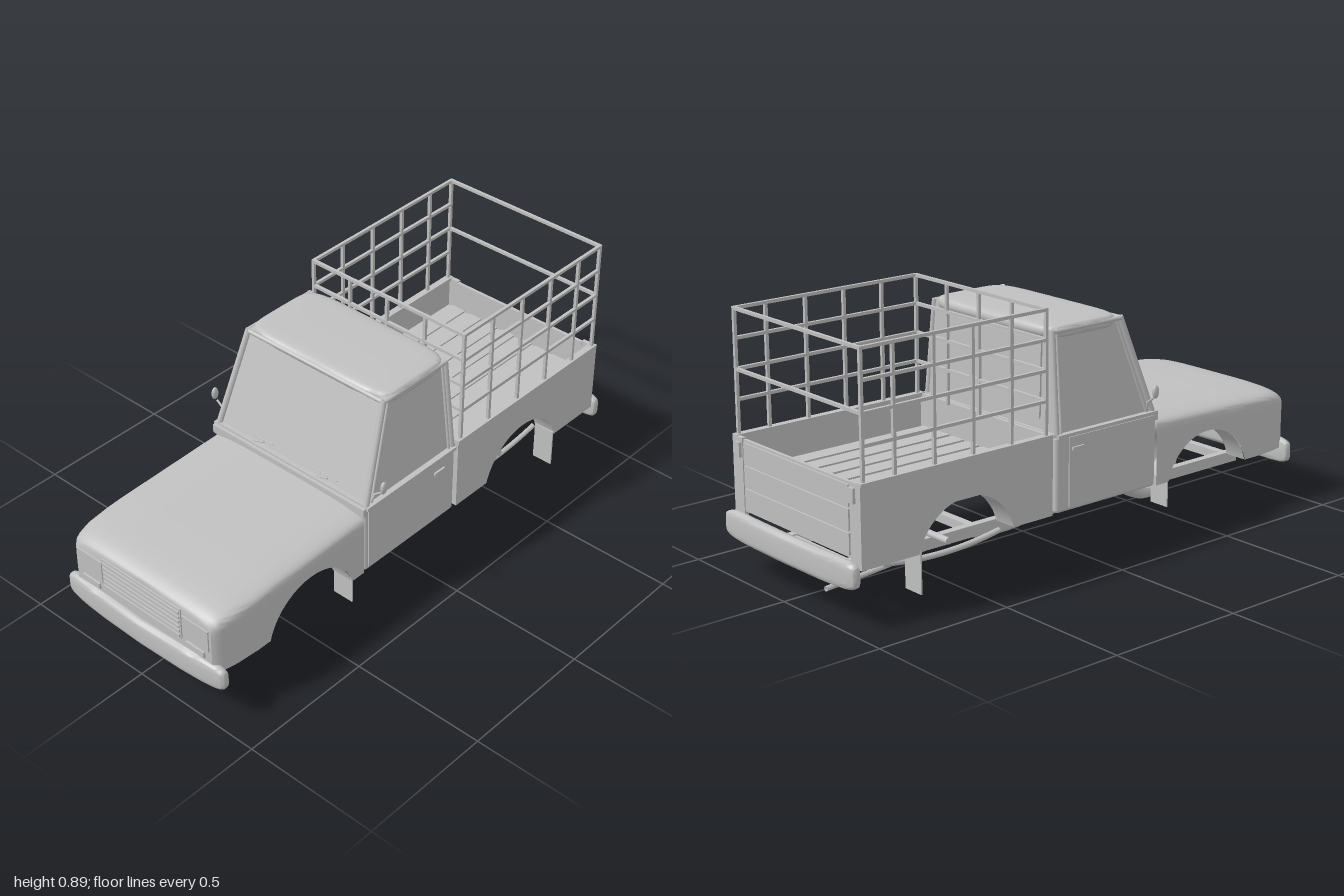
import * as THREE from 'three';
import { mergeVertices, toCreasedNormals } from 'three/addons/utils/BufferGeometryUtils.js';
import { ConvexGeometry } from 'three/addons/geometries/ConvexGeometry.js';
import { RoundedBoxGeometry } from 'three/addons/geometries/RoundedBoxGeometry.js';

const grey = new THREE.MeshStandardMaterial({ color: 0xc0c0c0, side: THREE.DoubleSide });
grey.name = 'plain grey';
const V = (x, y, z) => new THREE.Vector3(x, y, z);
const ARCH_R = 0.2, ARCH_Y = 0.137, SILL = 0.19, FRONT_Z = 0.555, REAR_Z = -0.53;
const ARCH_A = Math.asin((SILL - ARCH_Y) / ARCH_R);

// Piecewise linear lookup in [position, value] pairs
function lookup(table, p) {
  for (let i = 1; i < table.length; i++) {
    const [a, va] = table[i - 1], [b, vb] = table[i];
    if (p <= b) return va + (vb - va) * Math.max(0, (p - a) / (b - a));
  }
  return table[table.length - 1][1];
}

// Grid surface: fn(i, j) gives a point
function surface(nu, nv, fn, crease = 0.7) {
  const pos = [], idx = [];
  for (let i = 0; i <= nu; i++) for (let j = 0; j <= nv; j++) pos.push(...fn(i, j));
  for (let i = 0; i < nu; i++) for (let j = 0; j < nv; j++) {
    const a = i * (nv + 1) + j, b = a + nv + 1;
    idx.push(a, b, a + 1, b, b + 1, a + 1);
  }
  let g = new THREE.BufferGeometry();
  g.setAttribute('position', new THREE.Float32BufferAttribute(pos, 3));
  g.setIndex(idx);
  g = mergeVertices(g, 1e-5);
  return toCreasedNormals(g, crease);
}

// Soft-edged block, bowed along z towards its ends
function softBlock(hx, hy, hz, px, py, bow = 0) {
  const pw = (v, p) => Math.sign(v) * Math.abs(v) ** p;
  return surface(32, 24, (i, j) => {
    const v = -Math.PI / 2 + Math.PI * i / 32, u = -Math.PI * 2 * j / 24;
    const x = pw(Math.sin(v), px), c = pw(Math.cos(v), px);
    return [hx * x, hy * c * pw(Math.sin(u), py), hz * c * pw(Math.cos(u), py) - bow * x * x];
  }, 1);
}

export function createModel() {
  const truck = new THREE.Group();
  truck.name = 'pickupTruck';
  const add = (name, geo, x = 0, y = 0, z = 0) => {
    const m = new THREE.Mesh(geo, grey);
    m.name = name;
    m.position.set(x, y, z);
    truck.add(m);
    return m;
  };
  // Box given by its extents
  const box = (name, x0, x1, y0, y1, z0, z1) => add(name,
    new THREE.BoxGeometry(Math.abs(x1 - x0), y1 - y0, Math.abs(z1 - z0)), (x0 + x1) / 2, (y0 + y1) / 2, (z0 + z1) / 2);
  // Round bar between two points
  const bar = (name, a, b, r, sides = 8) => {
    const d = b.clone().sub(a), m = add(name, new THREE.CylinderGeometry(r, r, d.length(), sides));
    m.position.copy(a).add(b).multiplyScalar(0.5);
    m.quaternion.setFromUnitVectors(V(0, 1, 0), d.normalize());
    return m;
  };

  // Bonnet and front wings: one loft with the wheel arches in its lower edge
  const stations = [[0.305, SILL]];
  for (let i = 0; i <= 24; i++) {
    const a = Math.PI - ARCH_A - (Math.PI - 2 * ARCH_A) * i / 24;
    stations.push([FRONT_Z + ARCH_R * Math.cos(a), ARCH_Y + ARCH_R * Math.sin(a)]);
  }
  for (const z of [0.8, 0.85, 0.89, 0.92, 0.94, 0.955, 0.966, 0.972]) stations.push([z, z > 0.96 ? 0.2 : SILL]);
  stations.push([0.972, 0.2, true]);
  const top = [[0.3, 0.438], [0.73, 0.427], [0.89, 0.418], [0.94, 0.409], [0.966, 0.396], [0.972, 0.385]];
  const width = [[0.3, 0.345], [0.8, 0.345], [0.9, 0.338], [0.955, 0.325], [0.972, 0.31]];
  add('bonnetAndWings', surface(stations.length - 1, 40, (i, j) => {
    const [z, b, closed] = stations[i], t = j / 20 - 1, a = Math.abs(t);
    const W = lookup(width, z), T = lookup(top, z), r = 0.055;
    let x = W, y;
    if (a > 0.7) y = b + (T - r - b) * (1 - a) / 0.3;
    else {
      const th = a / 0.7 * Math.PI / 2;
      x = W * Math.sin(th) ** 0.5;
      y = T - r + r * Math.max(0, Math.cos(th)) ** 0.5;
    }
    return [closed ? 0 : x * Math.sign(t), y, z];
  }));

  // Grille and lamps
  box('grillePanel', -0.18, 0.18, 0.255, 0.375, 0.968, 0.977);
  for (let i = 0; i < 6; i++) box('grilleSlat', -0.175, 0.175, 0.262 + i * 0.019, 0.271 + i * 0.019, 0.975, 0.982);

  // Cab: lower body, glasshouse, roof
  add('cabBody', new RoundedBoxGeometry(0.69, 0.265, 0.455, 2, 0.012), 0, 0.3225, 0.0725);
  box('cowl', -0.345, 0.345, 0.425, 0.457, 0.27, 0.308);
  const glass = [];
  for (const s of [-1, 1]) glass.push(V(s * 0.334, 0.45, 0.282), V(s * 0.334, 0.45, -0.148),
    V(s * 0.299, 0.8, 0.162), V(s * 0.299, 0.8, -0.138));
  add('glasshouse', new ConvexGeometry(glass));
  add('roof', softBlock(0.31, 0.025, 0.162, 0.3, 0.35), 0, 0.79, 0.008);
  bar('windscreenTopFrame', V(-0.3, 0.795, 0.168), V(0.3, 0.795, 0.168), 0.008);
  box('windscreenLowerFrame', -0.335, 0.335, 0.452, 0.463, 0.275, 0.295);
  box('rearBeltRail', -0.34, 0.34, 0.45, 0.462, -0.158, -0.145);
  const back = box('rearWindow', -0.26, 0.26, 0.5, 0.76, -0.151, -0.144);
  back.rotation.x = 0.029;

  // Parts mirrored on both sides
  for (const s of [-1, 1]) {
    box('headlamp', s * 0.185, s * 0.3, 0.27, 0.355, 0.968, 0.977);
    box('turnSignal', s * 0.2, s * 0.28, 0.235, 0.258, 0.968, 0.979);
    bar('windscreenPillar', V(s * 0.336, 0.452, 0.288), V(s * 0.3, 0.8, 0.165), 0.011);
    bar('doorWindowFrame', V(s * 0.337, 0.455, 0.262), V(s * 0.303, 0.79, 0.147), 0.005);
    bar('rearPillar', V(s * 0.336, 0.452, -0.146), V(s * 0.302, 0.8, -0.136), 0.01);
    bar('doorRearFrame', V(s * 0.338, 0.455, -0.128), V(s * 0.304, 0.79, -0.12), 0.005);
    bar('roofGutter', V(s * 0.304, 0.795, 0.165), V(s * 0.304, 0.795, -0.14), 0.008);
    box('doorPanel', s * 0.342, s * 0.349, 0.205, 0.445, 0.285, -0.1);
    box('beltTrim', s * 0.333, s * 0.353, 0.448, 0.46, 0.295, -0.15);
    box('doorHandle', s * 0.348, s * 0.356, 0.4, 0.41, -0.04, -0.09);

    // Mirrors
    bar('mirrorStalk', V(s * 0.345, 0.494, 0.255), V(s * 0.375, 0.518, 0.255), 0.004);
    bar('mirrorFoot', V(s * 0.335, 0.46, 0.262), V(s * 0.347, 0.496, 0.255), 0.004);
    add('mirror', new THREE.SphereGeometry(1, 16, 12).scale(0.009, 0.024, 0.014), s * 0.384, 0.541, 0.255);

    // Bed side with wheel arch
    const side = new THREE.Shape();
    side.moveTo(-0.17, SILL);
    side.lineTo(-0.17, 0.462);
    side.lineTo(-0.943, 0.462);
    side.lineTo(-0.943, SILL);
    side.absarc(REAR_Z, ARCH_Y, ARCH_R, Math.PI - ARCH_A, ARCH_A, true);
    const sg = new THREE.ExtrudeGeometry(side, { depth: 0.016, bevelEnabled: false, curveSegments: 24 });
    add('bedSide', sg.rotateY(-Math.PI / 2), s > 0 ? 0.345 : -0.329);
    box('bedTopRail', s * 0.322, s * 0.348, 0.455, 0.468, -0.17, -0.943);
    box('tailCorner', s * 0.29, s * 0.345, SILL, 0.465, -0.93, -0.945);
    box('tailHinge', s * 0.295, s * 0.32, 0.4, 0.45, -0.94, -0.955);

    // Arch liners and mud flaps
    for (const z of [FRONT_Z, REAR_Z]) {
      const liner = new THREE.CylinderGeometry(ARCH_R, ARCH_R, 0.085, 24, 1, true, ARCH_A - Math.PI / 2 + Math.PI / 2, Math.PI - 2 * ARCH_A);
      add('archLiner', liner.rotateZ(Math.PI / 2), s * 0.3, ARCH_Y, z);
    }
    box('rearMudFlap', s * 0.265, s * 0.345, 0.055, 0.2, -0.714, -0.719);
    box('frontMudFlap', s * 0.265, s * 0.345, 0.1, 0.2, 0.358, 0.363);

    // Chassis rail and leaf spring
    box('chassisRail', s * 0.143, s * 0.171, 0.115, 0.155, 0.89, -0.905);
    const spring = new THREE.QuadraticBezierCurve3(V(s * 0.216, 0.135, -0.29), V(s * 0.216, 0.09, -0.53), V(s * 0.216, 0.135, -0.77));
    add('leafSpring', new THREE.TubeGeometry(spring, 16, 0.01, 6));

    // Wipers lie on the sloping windscreen
    const onGlass = (x, y) => V(x, y, 0.288 - 0.343 * (y - 0.45));
    const o = s > 0 ? 0.11 : -0.18;
    bar('wiperArm', onGlass(o, 0.462), onGlass(o + 0.05, 0.475), 0.003, 6);
    bar('wiperBlade', onGlass(o - 0.02, 0.483), onGlass(o + 0.09, 0.483), 0.002, 6);
  }

  // Bed floor, planks, front wall and tailgate
  box('bedFloor', -0.335, 0.335, 0.338, 0.346, -0.172, -0.94);
  for (let i = 0; i < 8; i++) box('floorPlank', -0.31 + i * 0.08, -0.25 + i * 0.08, 0.345, 0.352, -0.185, -0.93);
  box('bedFrontWall', -0.345, 0.345, SILL, 0.465, -0.17, -0.183);
  box('tailgate', -0.29, 0.29, 0.215, 0.46, -0.928, -0.94);
  for (let i = 0; i < 3; i++) box('tailgatePanel', -0.283, 0.283, 0.225 + i * 0.078, 0.296 + i * 0.078, -0.938, -0.946);

  // Cage over the bed
  const X = 0.335, Z0 = -0.192, Z1 = -0.927, h = 0.0055, levels = [0.885, 0.786, 0.684, 0.582];
  for (const x of [-X, X]) {
    for (const z of [Z0, -0.34, -0.497, -0.652, -0.807, Z1]) box('cagePost', x - h, x + h, 0.46, 0.89, z - h, z + h);
    for (const y of levels) box('cageSideRail', x - h, x + h, y - h, y + h, Z0, Z1);
  }
  for (const x of [-0.167, 0, 0.167]) box('cageFrontPost', x - h, x + h, 0.46, 0.89, Z0 - h, Z0 + h);
  for (const y of levels) box('cageFrontRail', -X, X, y - h, y + h, Z0 - h, Z0 + h);
  for (const y of [levels[0], levels[2]]) box('cageRearRail', -X, X, y - h, y + h, Z1 - h, Z1 + h);

  // Bumpers
  add('frontBumper', softBlock(0.36, 0.048, 0.02, 0.3, 0.5, 0.018), 0, 0.177, 0.98);
  add('rearBumper', softBlock(0.353, 0.048, 0.02, 0.3, 0.5, 0.012).rotateY(Math.PI), 0, 0.175, -0.98);
  for (const x of [-0.157, 0.157]) {
    box('frontBumperBracket', x - 0.012, x + 0.012, 0.14, 0.16, 0.88, 0.97);
    box('rearBumperBracket', x - 0.012, x + 0.012, 0.14, 0.16, -0.89, -0.97);
  }

  // Single wheel on the centre line
  const tyre = [[0.1, -0.045], [0.118, -0.055], [0.135, -0.048], [0.144, -0.03], [0.146, 0],
    [0.144, 0.03], [0.135, 0.048], [0.118, 0.055], [0.1, 0.045], [0.097, 0.03], [0.097, -0.03], [0.1, -0.045]];
  const lathe = pts => new THREE.LatheGeometry(pts.map(p => new THREE.Vector2(...p)), 40).rotateZ(-Math.PI / 2);
  add('tyre', lathe(tyre), 0, 0.149, 0.572);
  add('wheelRim', lathe([[0.1, 0.042], [0.092, 0.038], [0.085, 0.02], [0.06, 0.03], [0.035, 0.026], [0.03, 0.04], [0, 0.042]]), 0, 0.149, 0.572);
  add('wheelBack', lathe([[0.1, -0.042], [0.09, -0.035], [0.085, 0.012], [0, 0.015]]), 0, 0.149, 0.572);
  for (let i = 0; i < 6; i++) {
    const a = i * Math.PI / 3, y = 0.149 + 0.048 * Math.sin(a), z = 0.572 + 0.048 * Math.cos(a);
    bar('wheelNut', V(0.02, y, z), V(0.036, y, z), 0.006, 6);
  }

  // Running gear below the bed
  for (const z of [0.85, 0.3, -0.35, -0.86]) box('crossMember', -0.15, 0.15, 0.12, 0.15, z - 0.015, z + 0.015);
  bar('rearAxle', V(-0.25, 0.162, REAR_Z), V(0.25, 0.162, REAR_Z), 0.012, 12);
  add('differential', new THREE.SphereGeometry(0.027, 16, 12), 0, 0.162, -0.525);
  add('fuelTank', new THREE.SphereGeometry(1, 24, 16).scale(0.04, 0.027, 0.085), 0.26, 0.16, -0.275);

  // Exhaust
  const pipe = new THREE.CatmullRomCurve3([V(-0.06, 0.093, 0.36), V(-0.09, 0.093, 0.15), V(-0.115, 0.095, -0.1),
    V(-0.115, 0.1, -0.3), V(-0.13, 0.108, -0.5), V(-0.16, 0.1, -0.7), V(-0.188, 0.094, -0.97)]);
  add('exhaustPipe', new THREE.TubeGeometry(pipe, 40, 0.009, 8));
  add('muffler', new THREE.SphereGeometry(1, 16, 12).scale(0.022, 0.02, 0.14), -0.115, 0.098, -0.2);

  return truck;
}
